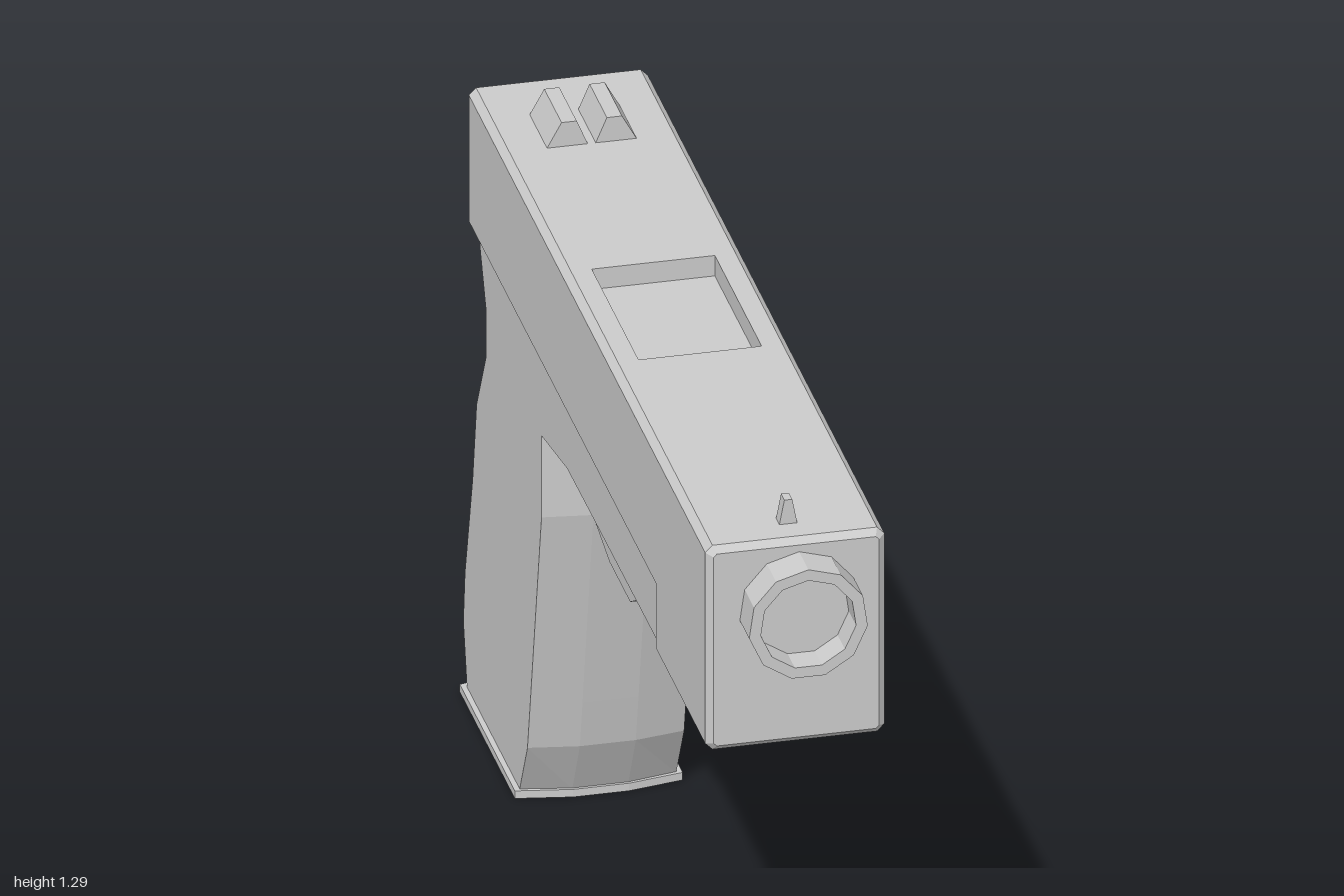
import * as THREE from 'three';

const mat = new THREE.MeshStandardMaterial({ color: 0xcccccc, flatShading: true });
const toShape = (pts) => new THREE.Shape(pts.map(([x, y]) => new THREE.Vector2(x, y)));

export function createModel() {
  const model = new THREE.Group();
  const add = (name, geometry, parent = model) => {
    const mesh = new THREE.Mesh(geometry, mat);
    mesh.name = name;
    parent.add(mesh);
    return mesh;
  };
  // Cross-section in x/y, extruded from z0 to z1
  const alongZ = (shape, z0, z1, bevel = 0) => new THREE.ExtrudeGeometry(shape, {
    depth: z1 - z0 - 2 * bevel, bevelEnabled: bevel > 0, bevelSize: bevel,
    bevelThickness: bevel, bevelOffset: -bevel, bevelSegments: 1, curveSegments: 1,
  }).translate(0, 0, z0 + bevel);
  // Side profile in z/y, extruded to a width centred on x = 0
  const alongX = (pts, width) => new THREE.ExtrudeGeometry(toShape(pts), { depth: width, bevelEnabled: false })
    .translate(0, 0, -width / 2).rotateY(-Math.PI / 2);

  // Slide: chamfered solid nose, open channel behind it, port in the roof
  const slide = new THREE.Group();
  slide.name = 'slide';
  model.add(slide);
  const W = 0.16, T = 1.24, C = 0.013, R = 1.2, wall = 0.148;
  const nose = toShape([[-W + C, 0.84], [W - C, 0.84], [W, 0.84 + C], [W, T - C], [W - C, T],
    [-W + C, T], [-W, T - C], [-W, 0.84 + C]]);
  add('slideNose', alongZ(nose, 0.55, 0.9), slide);
  add('slideNoseTip', alongZ(nose, 0.6, 0.93, 0.012), slide);
  const channel = toShape([[-W, 0.98], [-wall, 0.98], [-wall, R], [wall, R], [wall, 0.98], [W, 0.98],
    [W, T - C], [W - C, T], [-W + C, T], [-W, T - C]]);
  add('slideRear', alongZ(channel, -0.85, -0.14), slide);
  add('slideMiddle', alongZ(channel, 0.21, 0.55), slide);
  const portSide = [[0.11, R], [wall, R], [wall, 0.98], [W, 0.98], [W, T - C], [W - C, T], [0.11, T]];
  add('portSideLeft', alongZ(toShape(portSide), -0.14, 0.21), slide);
  add('portSideRight', alongZ(toShape(portSide.map(([x, y]) => [-x, y])), -0.14, 0.21), slide);

  // Barrel end: eleven-sided ring with a shallow bore
  const ngon = (r) => Array.from({ length: 11 }, (_, i) => {
    const a = Math.PI / 2 + (i * 2 * Math.PI) / 11;
    return [0.005 + r * Math.cos(a), 1.108 + r * Math.sin(a)];
  });
  const ring = toShape(ngon(0.107));
  ring.holes.push(toShape(ngon(0.086)));
  add('barrelRing', alongZ(ring, 0.925, 1));
  add('boreFloor', alongZ(toShape(ngon(0.09)), 0.925, 0.945));

  // Frame and grip: [z, y] at the flat sides, then [z, y] at the middle strip
  const profile = [
    [-0.85, 1.2, -0.85, 1.2], [-0.85, 0.925, -0.85, 0.925], [-0.807, 0.83, -0.828, 0.84],
    [-0.807, 0.73, -0.828, 0.725], [-0.876, 0.605, -0.897, 0.6], [-0.905, 0.445, -0.925, 0.445],
    [-0.963, 0.23, -0.984, 0.23], [-0.975, 0.13, -1, 0.125], [-0.947, 0.012, -0.973, 0.012],
    [-0.555, 0.012, -0.537, 0.012], [-0.495, 0.125, -0.48, 0.125], [-0.475, 0.22, -0.46, 0.22],
    [-0.39, 0.63, -0.378, 0.63], [-0.39, 0.79, -0.378, 0.77], [-0.2, 0.823, -0.2, 0.785],
    [0, 0.825, 0, 0.8], [0.535, 0.828, 0.54, 0.8], [0.535, 1.2, 0.54, 1.2],
  ];
  const n = profile.length;
  const rings = [[-0.14, 0], [-0.05, 2], [0.05, 2], [0.14, 0]];
  const position = rings.flatMap(([x, k]) => profile.flatMap((p) => [x, p[k + 1], p[k]]));
  const index = [];
  for (let r = 0; r < 3; r++) {
    for (let i = 0; i < n; i++) {
      const a = r * n + i, b = r * n + ((i + 1) % n);
      index.push(a, a + n, b, b, a + n, b + n);
    }
  }
  const outline = profile.map((p) => new THREE.Vector2(p[0], p[1]));
  for (const [a, b, c] of THREE.ShapeUtils.triangulateShape(outline, [])) {
    index.push(a, b, c, 3 * n + a, 3 * n + c, 3 * n + b);
  }
  let frame = new THREE.BufferGeometry();
  frame.setAttribute('position', new THREE.Float32BufferAttribute(position, 3));
  frame.setIndex(index);
  frame = frame.toNonIndexed();
  frame.computeVertexNormals();
  add('frameAndGrip', frame);

  // Base plate with bulged front and rear edges
  const plate = toShape([[-0.15, 0.548], [-0.05, 0.53], [0.05, 0.53], [0.15, 0.548],
    [0.15, 0.96], [0.05, 0.985], [-0.05, 0.985], [-0.15, 0.96]]);
  add('basePlate', new THREE.ExtrudeGeometry(plate, { depth: 0.015, bevelEnabled: false }).rotateX(-Math.PI / 2));

  // Trigger guard and trigger
  add('triggerGuard', alongX([
    [-0.013, 0.81], [-0.01, 0.71], [-0.05, 0.63], [-0.12, 0.59], [-0.275, 0.59], [-0.385, 0.615],
    [-0.385, 0.638], [-0.27, 0.617], [-0.13, 0.617], [-0.067, 0.648], [-0.038, 0.71], [-0.043, 0.81],
  ], 0.092));
  add('trigger', alongX([
    [-0.25, 0.8], [-0.24, 0.74], [-0.22, 0.69], [-0.18, 0.65], [-0.13, 0.63],
    [-0.14, 0.642], [-0.18, 0.675], [-0.21, 0.72], [-0.222, 0.8],
  ], 0.05));

  // Sights
  const rear = [[0.007, T - 0.01], [0.08, T - 0.01], [0.08, T], [0.054, 1.287], [0.027, 1.287], [0.007, T]];
  add('rearSightLeft', alongZ(toShape(rear), -0.73, -0.6));
  add('rearSightRight', alongZ(toShape(rear.map(([x, y]) => [-x, y])), -0.73, -0.6));
  add('frontSight', alongZ(toShape([[-0.016, T - 0.01], [0.016, T - 0.01], [0.016, T],
    [0.007, 1.287], [-0.007, 1.287], [-0.016, T]]), 0.845, 0.87));

  return model;
}
